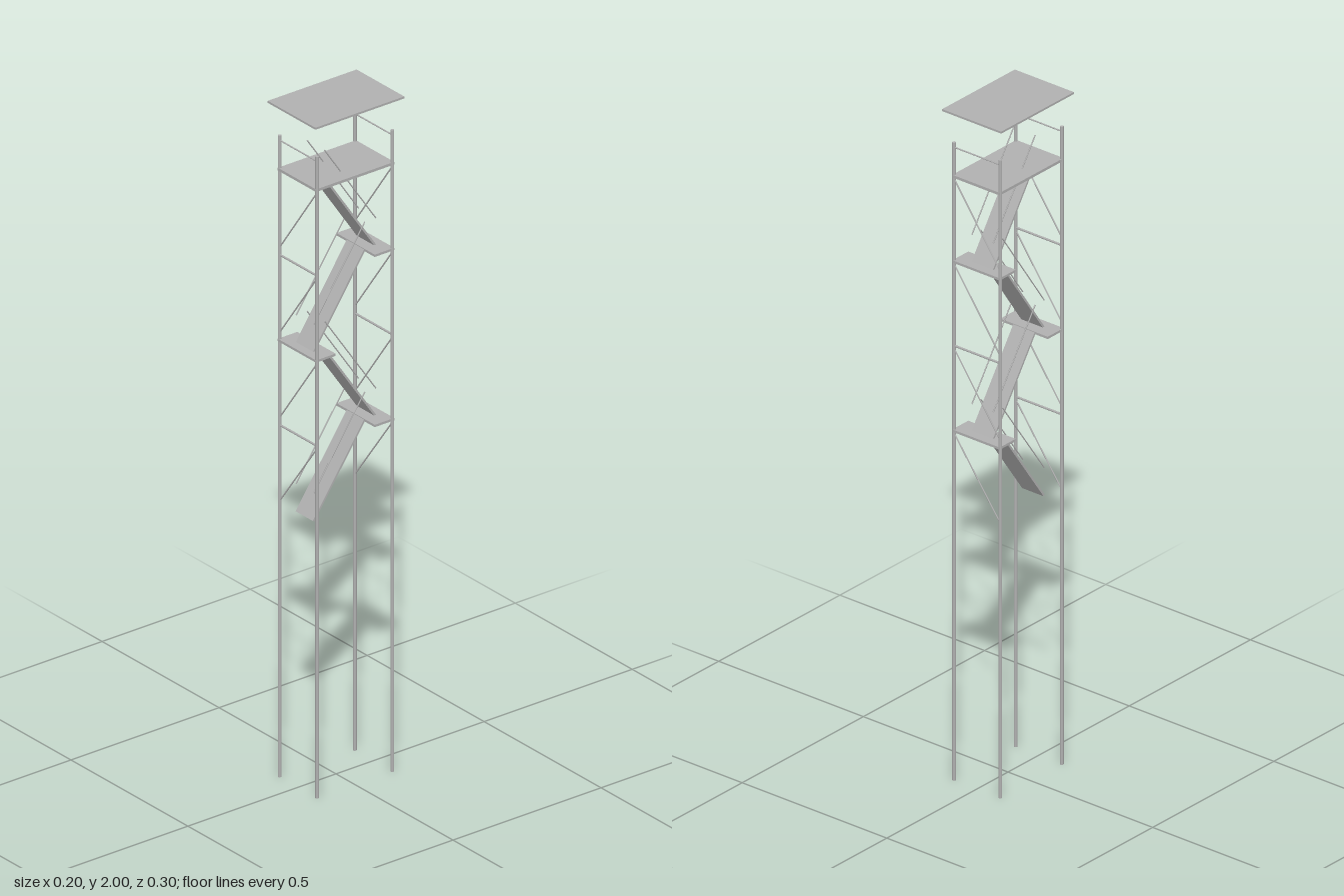
import * as THREE from 'three';

export function createModel() {
  const tower = new THREE.Group();
  tower.name = 'lookoutTower';
  const steel = new THREE.MeshStandardMaterial({ color: 0xb0b0b0 });
  steel.name = 'grey steel';

  const add = (name, geometry) => {
    const mesh = new THREE.Mesh(geometry, steel);
    mesh.name = name;
    tower.add(mesh);
    return mesh;
  };
  const slab = (name, w, h, d, x, y, z) =>
    add(name, new THREE.BoxGeometry(w, h, d)).position.set(x, y, z);
  // Round bar between two points
  const bar = (name, a, b, r, sides = 6) => {
    const from = new THREE.Vector3(...a), to = new THREE.Vector3(...b);
    const dir = to.clone().sub(from);
    const mesh = add(name, new THREE.CylinderGeometry(r, r, dir.length(), sides));
    mesh.position.copy(from).add(to).multiplyScalar(0.5);
    mesh.quaternion.setFromUnitVectors(new THREE.Vector3(0, 1, 0), dir.normalize());
  };

  const X = 0.08, Z = 0.127, RAIL = 0.083;
  const levels = [0.795, 1.042, 1.294, 1.546, 1.8];

  // Corner posts
  for (const x of [-X, X])
    for (const z of [-Z, Z]) bar('cornerPost', [x, 0, z], [x, 1.9, z], 0.005, 10);

  // Cross beams, diagonal braces and top guard rails on the front and back
  for (const z of [-Z, Z]) {
    for (let i = 0; i < 4; i++) {
      bar('diagonalBrace', [-X, levels[i] + 0.022, z], [X, levels[i + 1] - 0.008, z], 0.002);
      bar('crossBeam', [-X, levels[i + 1], z], [X, levels[i + 1], z], 0.003);
    }
    bar('guardRail', [-X, 1.885, z], [X, 1.885, z], 0.002);
  }

  // Landings alternate between the back and the front
  [-1, 1, -1].forEach((side, i) =>
    slab('landing', 0.164, 0.007, 0.066, 0, levels[i + 1], side * 0.099));

  // Zigzag flights with a handrail along each side
  for (let i = 0; i < 4; i++) {
    const s = i % 2 === 0 ? 1 : -1;
    const z0 = 0.105 * s, z1 = -0.068 * s;
    const y0 = levels[i], y1 = levels[i + 1];
    const flight = add('stairFlight',
      new THREE.BoxGeometry(0.074, 0.006, Math.hypot(y1 - y0, z1 - z0)));
    flight.position.set(0, (y0 + y1) / 2, (z0 + z1) / 2);
    flight.rotation.x = -Math.atan2(y1 - y0, z1 - z0);
    for (const x of [-0.037, 0.037])
      bar('handrail', [x, y0 + RAIL, z0], [x, y1 + RAIL, z1], 0.0018);
  }

  // Lookout floor, roof and hanging lamp
  slab('lookoutFloor', 0.164, 0.008, 0.264, 0, 1.8, 0);
  slab('roof', 0.204, 0.006, 0.3, 0, 1.997, 0);
  add('lamp', new THREE.SphereGeometry(0.008, 16, 12)).position.set(0, 1.979, 0);

  return tower;
}
